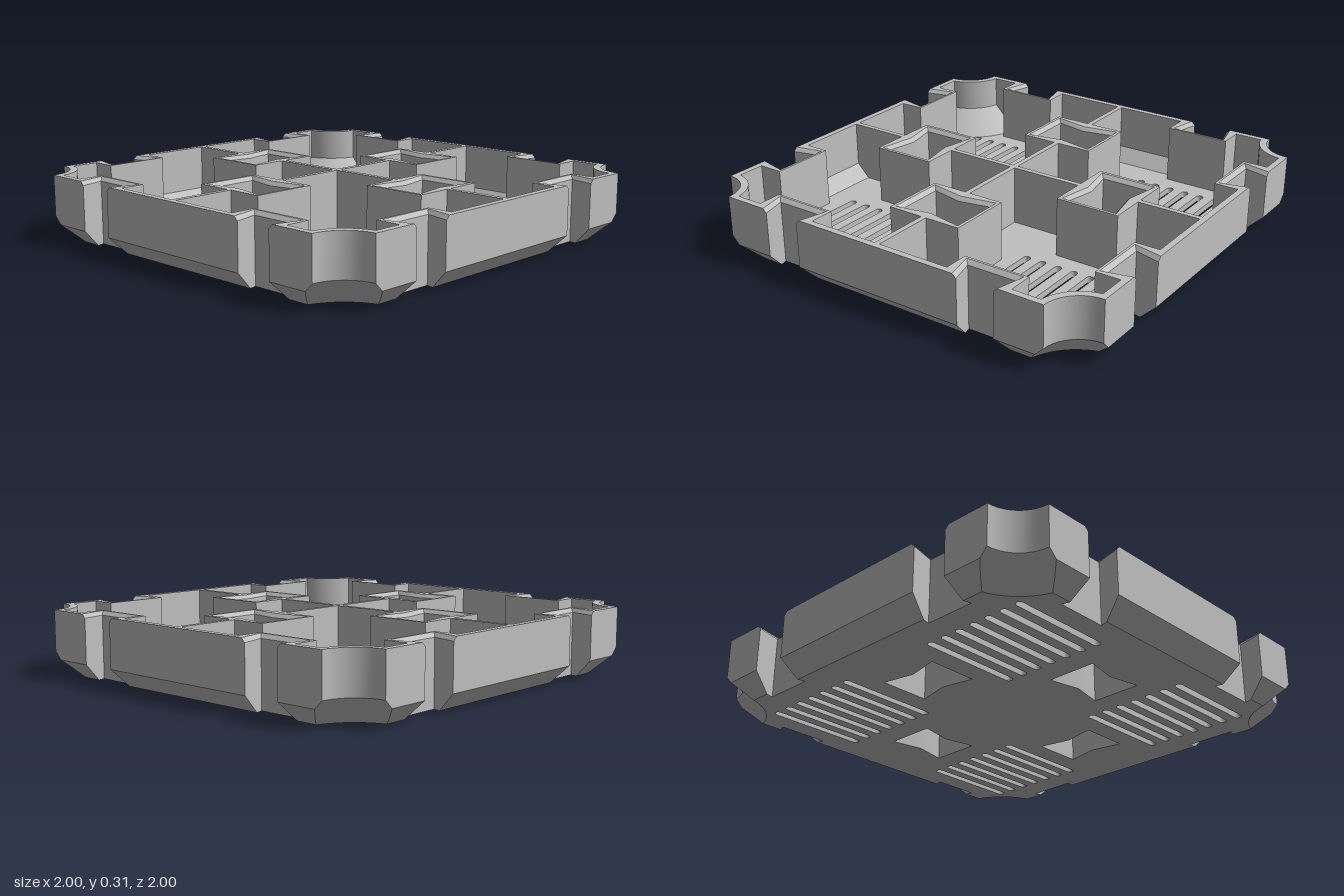
import * as THREE from 'three';
import { toCreasedNormals } from 'three/addons/utils/BufferGeometryUtils.js';

const H = 0.31, FLOOR = 0.03, PITCH = 0.515, RIB = 0.025;
const LIP = 0.018;                       // chamfer round the connector holes
const BLOCK = { half: 0.155, long: 0.185, depth: 0.147 };
const HOLE = { waist: 0.0885, end: 0.12, long: 0.152, depth: 0.118 };
const material = new THREE.MeshStandardMaterial({ color: 0xc0c0c0 });
material.name = 'light grey plastic';

// Clockwise square outline with four scooped corners and two notches per side.
function outline(inset, radius, mouth, end, depth) {
  const pts = [];
  const t0 = Math.asin(inset / radius), steps = 10;
  for (let k = 0; k < 4; k++) {
    const side = [];
    for (const c of [-PITCH, PITCH]) {
      side.push([c - mouth, 1 - inset], [c - end, 1 - depth], [c + end, 1 - depth], [c + mouth, 1 - inset]);
    }
    for (let i = 0; i <= steps; i++) {
      const t = t0 + (Math.PI / 2 - 2 * t0) * i / steps;
      side.push([1 - radius * Math.cos(t), 1 - radius * Math.sin(t)]);
    }
    for (let [u, n] of side) {
      for (let j = 0; j < k; j++) [u, n] = [n, -u];
      pts.push([u, n]);
    }
  }
  return pts;
}

// Outer skin at height y: bottom chamfer, conical corners, dovetail notches.
function outer(y) {
  const inset = Math.max(0, 0.083 - y);
  const lip = y > 0.3 ? LIP : 0;
  const slope = (HOLE.end - HOLE.waist) / HOLE.depth;
  return outline(inset, 0.165 + Math.max(0, 0.12 - y),
    HOLE.waist + slope * inset + lip, HOLE.end + lip, HOLE.depth + lip);
}

// Inner cavity at height y, stepping round the square notch blocks.
function cavity(y) {
  return outline(0.03 + Math.max(0, 0.095 - y), 0.2 + Math.max(0, 0.155 - y),
    BLOCK.half, BLOCK.half, BLOCK.depth);
}

const place = (pts, x, y, turn) => pts.map(([u, v]) => turn ? [x + v, y - u] : [x + u, y + v]);

function bowtie(lip = 0) {
  const w = HOLE.waist + lip, e = HOLE.end + lip, l = HOLE.long + lip;
  return [[-l, e], [0, w], [l, e], [l, -e], [0, -w], [-l, -e]];
}

function rect(a, b) {
  return [[-a, b], [a, b], [a, -b], [-a, -b]];
}

function slot() {
  const pts = [], r = 0.017, half = 0.249 - r;
  for (const s of [1, -1]) {
    for (let i = 0; i <= 6; i++) {
      const t = Math.PI * i / 6;
      pts.push([s * (half + r * Math.sin(t)), s * r * Math.cos(t)]);
    }
  }
  return pts;
}

// Wall skin through rings of equal length; inward = seen from inside.
function loft(rings, inward) {
  const pos = [];
  for (let r = 0; r + 1 < rings.length; r++) {
    const lo = rings[r], hi = rings[r + 1], n = lo.pts.length;
    const v = (ring, i) => [ring.pts[i % n][0], ring.y, -ring.pts[i % n][1]];
    for (let i = 0; i < n; i++) {
      const a = v(lo, i), b = v(lo, i + 1), A = v(hi, i), B = v(hi, i + 1);
      pos.push(...(inward ? [a, b, A, b, B, A] : [a, A, b, b, A, B]).flat());
    }
  }
  const geo = new THREE.BufferGeometry();
  geo.setAttribute('position', new THREE.Float32BufferAttribute(pos, 3));
  return toCreasedNormals(geo, 0.6);
}

// Flat face with holes, facing up or down.
function cap(pts, holes, y, down) {
  const vec = p => p.map(([a, b]) => new THREE.Vector2(a, b));
  const shape = new THREE.Shape(vec(pts));
  shape.holes = holes.map(h => new THREE.Path(vec(h)));
  const geo = new THREE.ShapeGeometry(shape);
  geo.rotateX(down ? Math.PI / 2 : -Math.PI / 2);
  return geo.translate(0, y, 0);
}

export function createModel() {
  const group = new THREE.Group();
  group.name = 'gridTile';
  const add = (name, geo) => {
    const mesh = new THREE.Mesh(geo, material);
    mesh.name = name;
    group.add(mesh);
    return mesh;
  };
  const rings = (fn, ys) => ys.map(y => ({ y, pts: fn(y) }));

  // Connector positions and drain slots
  const sites = [[0, PITCH, false], [0, -PITCH, false], [PITCH, 0, true], [-PITCH, 0, true]];
  const slots = [];
  for (const sx of [-1, 1]) for (const sy of [-1, 1]) for (let i = -3; i <= 3; i++) {
    slots.push(place(slot(), sx * 0.516, sy * 0.518 + i * 0.0828));
  }
  const openings = [...sites.map(s => place(bowtie(), ...s)), ...slots];

  // Shell
  add('outerWall', loft(rings(outer, [0, 0.04, 0.083, 0.12, H - LIP, H])));
  add('innerWall', loft(rings(cavity, [FLOOR, 0.06, 0.095, 0.155, H]), true));
  add('rim', cap(outer(H), [cavity(H)], H));
  add('floor', cap(cavity(FLOOR), openings, FLOOR));
  add('underside', cap(outer(0), openings, 0, true));
  for (const s of slots) add('drainSlot', loft([{ y: 0, pts: s }, { y: FLOOR, pts: s }], true));

  // Blocks with bow-tie connector holes
  for (const s of sites) {
    const box = place(rect(BLOCK.long, BLOCK.half), ...s);
    const hole = place(bowtie(), ...s), wide = place(bowtie(LIP), ...s);
    add('connectorBlock', loft([{ y: FLOOR, pts: box }, { y: H, pts: box }]));
    add('connectorTop', cap(box, [wide], H));
    add('connectorHole', loft([{ y: 0, pts: hole }, { y: H - LIP, pts: hole }, { y: H, pts: wide }], true));
  }

  // Ribs: a central cross, and four running from the blocks to the outer wall
  const inner = 2 * (PITCH - BLOCK.half);
  for (const size of [[inner, RIB], [RIB, inner]]) {
    const geo = new THREE.BoxGeometry(size[0], H - 0.02, size[1]);
    add('centreRib', geo.translate(0, (H + 0.02) / 2, 0));
  }
  const profile = new THREE.Shape([[0.669, 0.025], [0.91, 0.025], [0.975, 0.09], [0.975, H], [0.669, H]]
    .map(p => new THREE.Vector2(...p)));
  for (let k = 0; k < 4; k++) {
    const geo = new THREE.ExtrudeGeometry(profile, { depth: RIB, bevelEnabled: false });
    add('edgeRib', geo.translate(0, 0, -RIB / 2).rotateY(k * Math.PI / 2));
  }
  return group;
}
